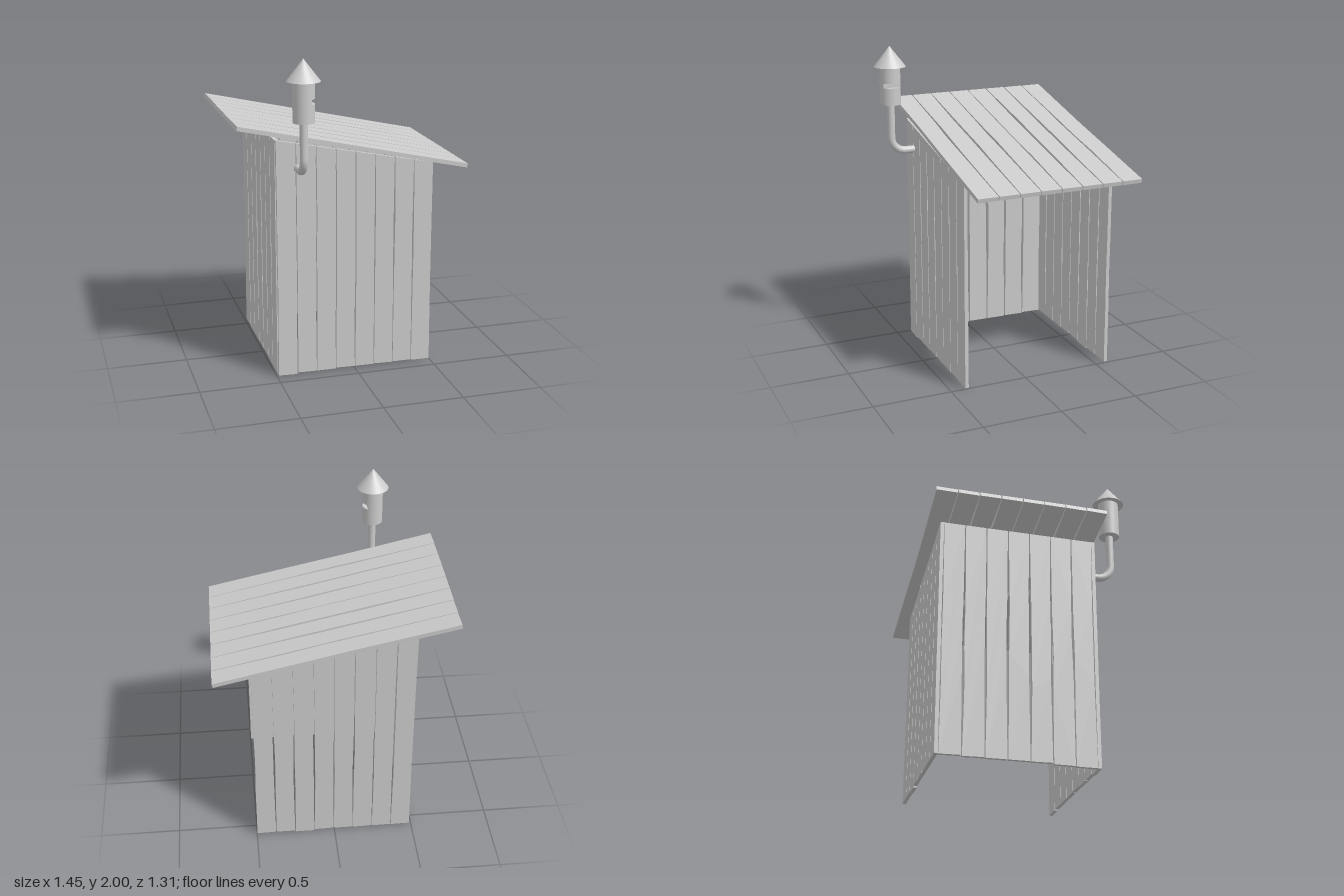
import * as THREE from 'three';

const mat = new THREE.MeshStandardMaterial({ color: 0xcccccc });
const THICK = 0.022;

// small seeded generator for the uneven plank edges
let seed = 7;
const rand = () => (seed = (seed * 16807) % 2147483647) / 2147483647;

function add(parent, name, geometry, x = 0, y = 0, z = 0) {
  const mesh = new THREE.Mesh(geometry, mat);
  mesh.name = name;
  mesh.position.set(x, y, z);
  parent.add(mesh);
  return mesh;
}

// upright plank from y0 to a sloping top, with slightly worn edges, centred on x and z
function plankGeometry(width, y0, topLeft, topRight, thick, wear) {
  const h = width / 2;
  const along = (top, t) => y0 + (top - y0) * t;
  const dent = () => h - rand() * wear;
  const s = new THREE.Shape();
  s.moveTo(-h, y0 + rand() * 0.004);
  s.lineTo(h, y0);
  for (const t of [0.3, 0.45, 0.65]) s.lineTo(dent(), along(topRight, t));
  s.lineTo(h, topRight);
  s.lineTo(-h, topLeft);
  for (const t of [0.7, 0.55, 0.35]) s.lineTo(-dent(), along(topLeft, t));
  s.closePath();
  const g = new THREE.ExtrudeGeometry(s, { depth: thick, bevelEnabled: false });
  return g.translate(0, 0, -thick / 2);
}

// front or back wall: eight planks cut to the roof slope
function slopedWall(name, z) {
  const wall = new THREE.Group();
  wall.name = name;
  const pitch = 0.99 / 8;
  const top = (x) => 1.4 - 0.2 * x;
  for (let i = 0; i < 8; i++) {
    const x = -0.49 + pitch * (i + 0.5);
    const w = pitch - 0.004;
    const g = plankGeometry(w, rand() * 0.01, top(x - w / 2), top(x + w / 2), THICK, 0.005);
    add(wall, 'wallPlank', g, x, 0, z);
  }
  return wall;
}

// tall side wall: seven planks of equal height
function sideWall() {
  const wall = new THREE.Group();
  wall.name = 'sideWall';
  const pitch = 0.945 / 7;
  for (let i = 0; i < 7; i++) {
    const g = plankGeometry(pitch - 0.006, rand() * 0.01, 1.495, 1.495, THICK, 0.008);
    add(wall, 'wallPlank', g.rotateY(Math.PI / 2), -0.479, 0, 0.385 - pitch * (i + 0.5));
  }
  return wall;
}

// overhanging roof: eight long planks tilted towards the open side
function roof() {
  const group = new THREE.Group();
  group.name = 'roof';
  const pitch = 1.075 / 8;
  for (let i = 0; i < 8; i++) {
    const g = plankGeometry(pitch - 0.005, -0.74, 0.74, 0.74, 0.026, 0.008);
    g.rotateZ(-Math.PI / 2).rotateX(Math.PI / 2);
    add(group, 'roofPlank', g, 0, 0, -0.66 + pitch * (i + 0.5));
  }
  group.position.y = 1.425;
  group.rotation.z = -0.218;
  return group;
}

// bent stove pipe with a slotted can and a conical cap
function chimney() {
  const group = new THREE.Group();
  group.name = 'chimney';
  group.position.set(-0.355, 0, 0.555);

  const path = new THREE.CurvePath();
  const v = (y, z) => new THREE.Vector3(0, y, z);
  path.add(new THREE.LineCurve3(v(1.322, -0.17), v(1.322, -0.09)));
  path.add(new THREE.CubicBezierCurve3(v(1.322, -0.09), v(1.322, -0.04), v(1.362, 0), v(1.412, 0)));
  path.add(new THREE.LineCurve3(v(1.412, 0), v(1.64, 0)));
  add(group, 'pipe', new THREE.TubeGeometry(path, 48, 0.024, 20, false)).material = pipeMat;

  const R = 0.065;
  const can = (name, y0, y1) =>
    add(group, name, new THREE.CylinderGeometry(R, R, y1 - y0, 32), 0, (y0 + y1) / 2, 0);
  can('canBottom', 1.63, 1.74);
  can('canTop', 1.77, 1.87);

  // middle of the can, cut flat to leave the slot on one side
  const a = Math.acos(0.035 / R);
  const s = new THREE.Shape();
  s.absarc(0, 0, R, a, Math.PI * 2 - a, false);
  s.closePath();
  const core = new THREE.ExtrudeGeometry(s, { depth: 0.03, bevelEnabled: false, curveSegments: 24 });
  add(group, 'canSlot', core.rotateX(-Math.PI / 2), 0, 1.74, 0);

  add(group, 'cap', new THREE.ConeGeometry(0.1, 0.13, 32), 0, 1.935, 0);
  return group;
}
const pipeMat = new THREE.MeshStandardMaterial({ color: 0xcccccc, side: THREE.DoubleSide });

export function createModel() {
  seed = 7;
  const model = new THREE.Group();
  model.name = 'plankShed';
  model.add(slopedWall('frontWall', 0.395), slopedWall('backWall', -0.57));
  model.add(sideWall(), roof(), chimney());
  return model;
}
